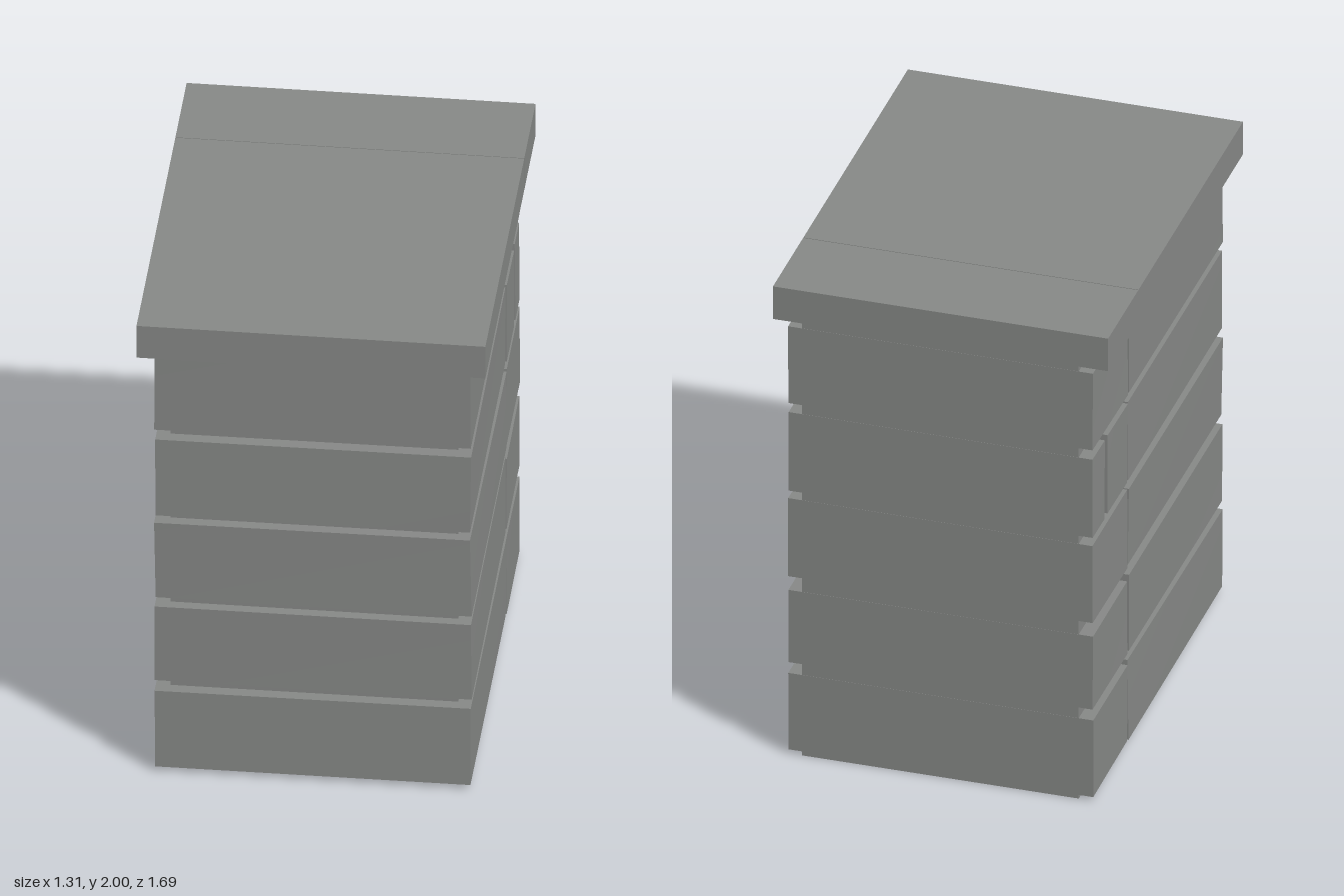
import * as THREE from 'three';

const stone = new THREE.MeshStandardMaterial({ color: 0x868886 });
stone.name = 'grey stone';

// Small seeded generator for hand-cut irregularity
function makeRandom(seed) {
  return () => {
    seed = (seed * 16807) % 2147483647;
    return seed / 2147483647;
  };
}

export function createModel() {
  const group = new THREE.Group();
  group.name = 'stonePillar';
  const random = makeRandom(4217);

  // Box given by its limits; each side face leans in by up to "lean" at one end
  function addBlock(name, [x0, x1], [y0, y1], [z0, z1], lean = 0) {
    const geo = new THREE.BoxGeometry(x1 - x0, y1 - y0, z1 - z0);
    const p = geo.attributes.position;
    const offsets = Array.from({ length: 8 }, () => [random() * lean, random() * lean, random() * lean]);
    for (let i = 0; i < p.count; i++) {
      const s = [Math.sign(p.getX(i)), Math.sign(p.getY(i)), Math.sign(p.getZ(i))];
      const o = offsets[(s[0] > 0 ? 1 : 0) + (s[1] > 0 ? 2 : 0) + (s[2] > 0 ? 4 : 0)];
      // the flush back plane stays flat
      const dz = s[2] < 0 && z0 < -0.84 ? 0 : o[2];
      p.setXYZ(i, p.getX(i) - s[0] * o[0], p.getY(i) - s[1] * o[1], p.getZ(i) - s[2] * dz);
    }
    geo.computeVertexNormals();
    geo.translate((x0 + x1) / 2, (y0 + y1) / 2, (z0 + z1) / 2);
    const mesh = new THREE.Mesh(geo, stone);
    mesh.name = name;
    group.add(mesh);
  }

  // Recessed mortar core, visible in the joints
  addBlock('mortarCore', [-0.54, 0.54], [0, 1.87], [-0.844, 0.74]);

  // Five courses: a long front stone and shorter rear stones
  const back = -0.845;
  const courses = [
    { y: [0.015, 0.36], rearTop: 0.347, front: 0.79, end: -0.403, start: -0.408 },
    { y: [0.39, 0.728], rearTop: 0.707, front: 0.783, end: -0.396, start: -0.406 },
    { y: [0.762, 1.1], rearTop: 1.1, front: 0.787, end: -0.402, start: -0.408 },
    { y: [1.13, 1.472], rearTop: 1.472, front: 0.793, end: -0.397, start: -0.408, split: [-0.695, -0.657] },
    { y: [1.505, 1.842], rearTop: 1.842, front: 0.79, end: -0.396, start: -0.406 },
  ];
  courses.forEach((c, i) => {
    const n = i + 1;
    const x = [-0.597, 0.595];
    const rearY = [c.y[0], c.rearTop];
    addBlock(`frontStone${n}`, x, c.y, [c.end, c.front], 0.007);
    if (c.split) {
      addBlock(`middleStone${n}`, x, rearY, [c.split[1], c.start], 0.004);
      addBlock(`rearStone${n}`, x, rearY, [back, c.split[0]], 0.004);
    } else {
      addBlock(`rearStone${n}`, x, rearY, [back, c.start], 0.004);
    }
  });

  // Overhanging capstones with a hairline seam
  addBlock('frontCapstone', [-0.655, 0.653], [1.86, 2], [-0.464, 0.845]);
  addBlock('rearCapstone', [-0.655, 0.653], [1.86, 2], [back, -0.467]);

  return group;
}
